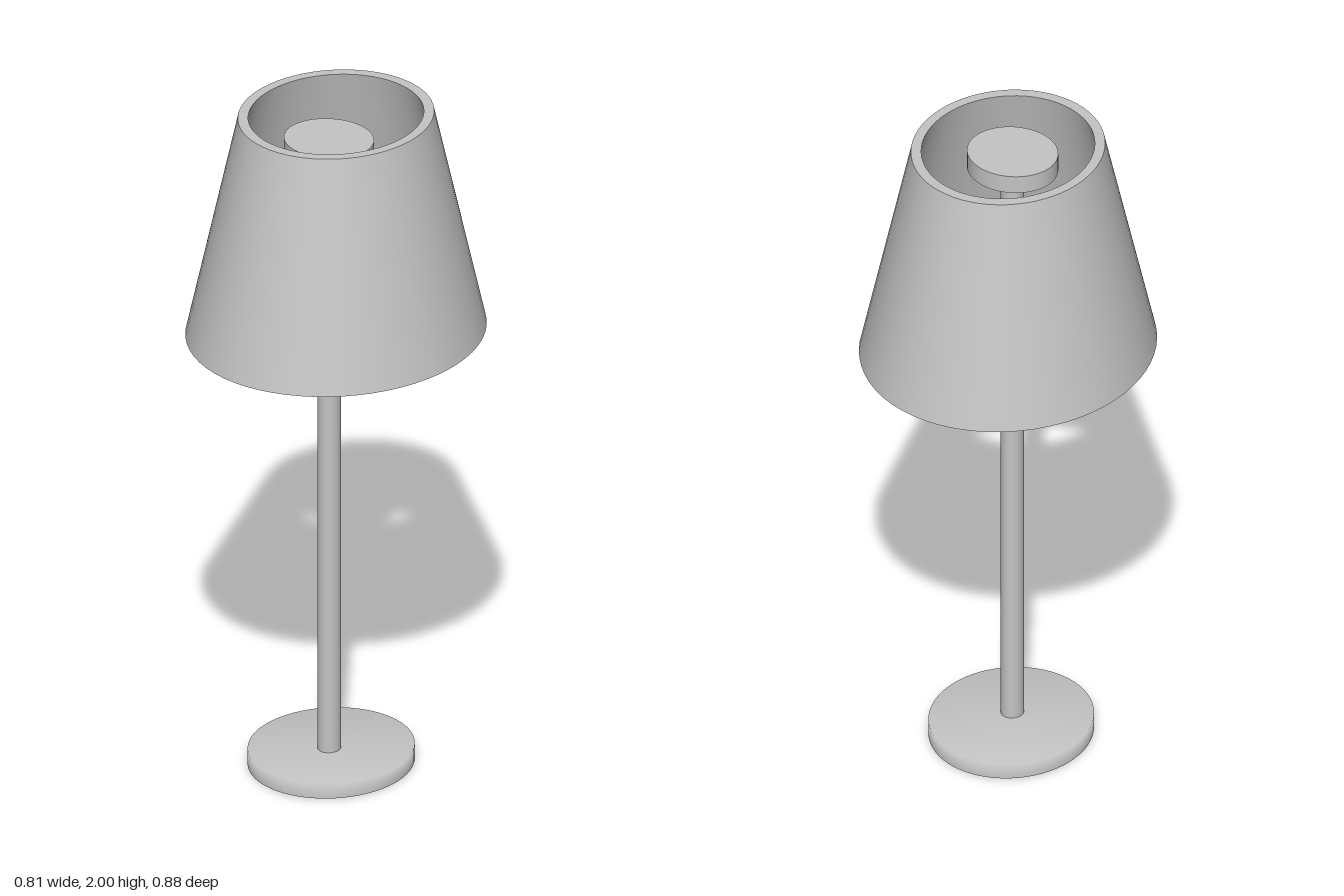
import * as THREE from 'three';

const SEGMENTS = 64;

export function createModel() {
  const lamp = new THREE.Group();
  lamp.name = 'tableLamp';
  const grey = new THREE.MeshStandardMaterial({ color: 0xc4c4c4 });
  grey.name = 'light grey';

  const add = (parent, name, geometry) => {
    const mesh = new THREE.Mesh(geometry, grey);
    mesh.name = name;
    parent.add(mesh);
    return mesh;
  };
  const lathe = (points) =>
    new THREE.LatheGeometry(points.map(([r, y]) => new THREE.Vector2(r, y)), SEGMENTS);

  // Hollow tapered shade, slightly oval; each band is its own lathe so rims stay sharp
  const shade = new THREE.Group();
  shade.name = 'shade';
  shade.scale.z = 1.09;
  const ring = [[0.405, 1.333], [0.264, 2], [0.236, 2], [0.377, 1.333]];
  const bands = ['shadeOuter', 'shadeTopRim', 'shadeInner', 'shadeBottomRim'];
  bands.forEach((name, i) => add(shade, name, lathe([ring[i], ring[(i + 1) % 4]])));
  lamp.add(shade);

  // Oval foot: softly shaded top and edge, flat underside
  const base = new THREE.Group();
  base.name = 'base';
  base.position.set(0.01, 0, 0.033);
  base.scale.z = 1.075;
  add(base, 'baseBody', lathe([[0.226, 0], [0.226, 0.047], [0, 0.05]]));
  add(base, 'baseUnderside', lathe([[0, 0], [0.226, 0]]));
  lamp.add(base);

  // Slim pole running up into the shade
  const pole = add(lamp, 'pole', new THREE.CylinderGeometry(0.032, 0.032, 1.88, 32));
  pole.position.set(0.017, 0.98, 0.05);
  pole.scale.z = 1.07;

  // Flat disc capping the pole inside the shade
  const cap = add(lamp, 'capDisc', new THREE.CylinderGeometry(0.13, 0.13, 0.055, SEGMENTS));
  cap.position.set(0.016, 1.922, 0.05);
  cap.scale.z = 0.92;

  return lamp;
}
